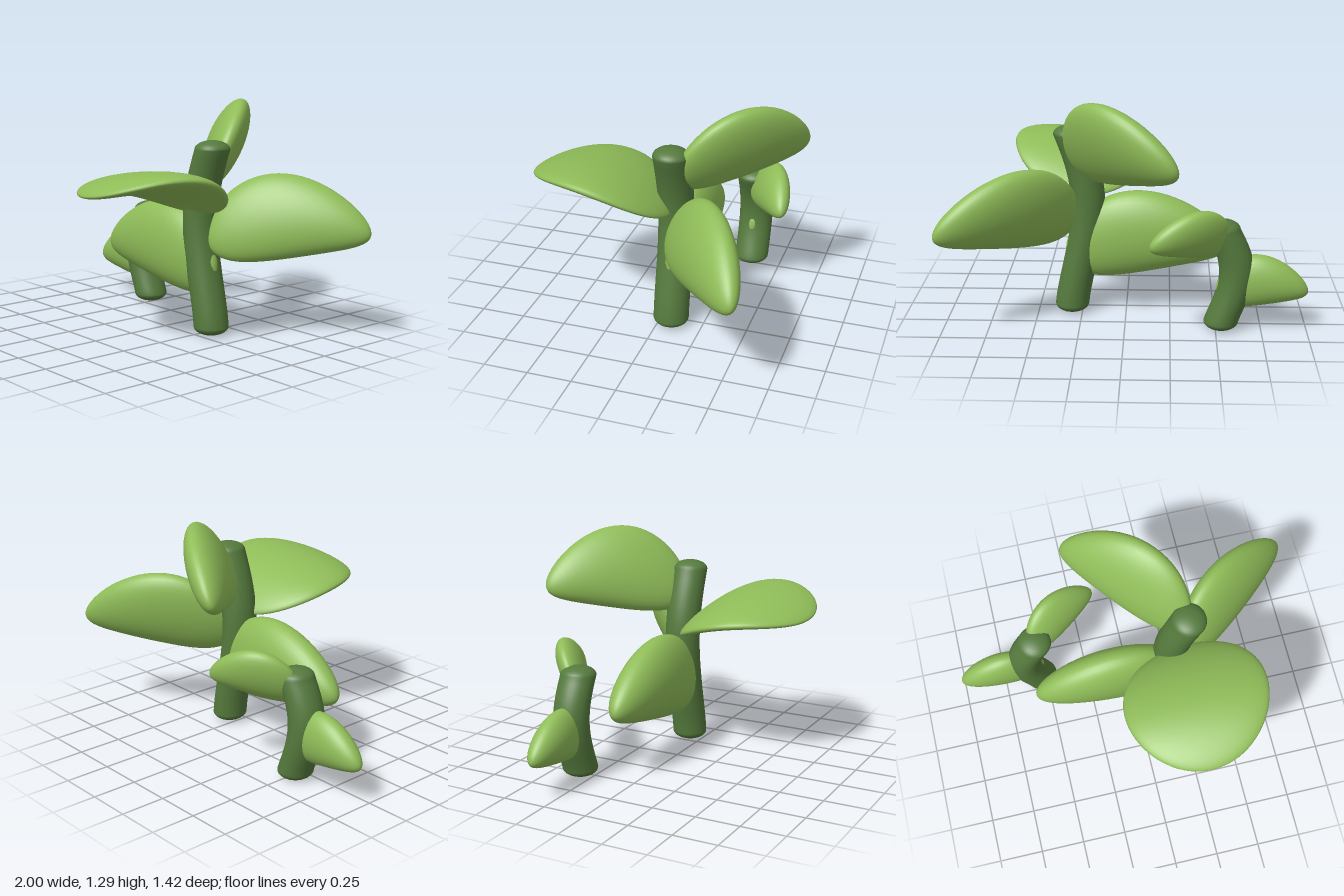
import * as THREE from 'three';
import { mergeVertices } from 'three/addons/utils/BufferGeometryUtils.js';

const leafGreen = new THREE.MeshStandardMaterial({ name: 'leafGreen', color: 0x8fbc58 });
const stemGreen = new THREE.MeshStandardMaterial({ name: 'stemGreen', color: 0x557a3d });

// Move every vertex by a rule, then weld seams for smooth normals.
function reshape(geometry, rule) {
  const pos = geometry.attributes.position;
  const v = new THREE.Vector3();
  for (let i = 0; i < pos.count; i++) {
    rule(v.fromBufferAttribute(pos, i));
    pos.setXYZ(i, v.x, v.y, v.z);
  }
  geometry.deleteAttribute('uv');
  geometry.deleteAttribute('normal');
  const welded = mergeVertices(geometry, 1e-5);
  welded.computeVertexNormals();
  return welded;
}

// Round stem with shallow domed ends, bowed towards -x.
function stem(name, { x, z, height, bow, power }) {
  const r = 0.1, dome = 0.05;
  const bottom = [], top = [], body = [];
  for (let i = 0; i < 8; i++) {
    const angle = i / 8 * Math.PI / 2;
    const px = r * Math.sin(angle), py = dome * (1 - Math.cos(angle));
    bottom.push(new THREE.Vector2(px, py));
    top.unshift(new THREE.Vector2(px, height - py));
  }
  for (let i = 0; i <= 20; i++) body.push(new THREE.Vector2(r, dome + (height - 2 * dome) * i / 20));
  const geometry = reshape(new THREE.LatheGeometry([...bottom, ...body, ...top], 32), v => {
    const s = THREE.MathUtils.clamp((v.y - dome) / (height - 2 * dome), 0, 1);
    v.x = v.x * 0.96 + x - bow * Math.sin(Math.PI * Math.pow(s, power));
    v.z += z;
  });
  const mesh = new THREE.Mesh(geometry, stemGreen);
  mesh.name = name;
  return mesh;
}

// Plump leaf from base to tip: egg outline, arched in its width and bent along its normal.
function leaf(name, base, tip, o) {
  const start = new THREE.Vector3(...base);
  const along = new THREE.Vector3(...tip).sub(start);
  const length = along.length();
  along.normalize();
  const across = new THREE.Vector3(...o.across).normalize();
  const normal = across.clone().cross(along).normalize();
  const geometry = reshape(new THREE.SphereGeometry(1, 40, 32), v => {
    const a = v.y, b = v.x, c = v.z;
    const curve = 1 - a * a;
    v.copy(start)
      .addScaledVector(along, length * (a + 1) / 2 + o.shear * b)
      .addScaledVector(across, o.arch * curve + o.width * b * (1 - o.taper * a))
      .addScaledVector(normal, o.bend * curve + o.thick * c);
  });
  const mesh = new THREE.Mesh(geometry, leafGreen);
  mesh.name = name;
  return mesh;
}

export function createModel() {
  const group = new THREE.Group();
  group.name = 'leafyStems';

  group.add(
    stem('tallStem', { x: 0.307, z: -0.075, height: 1.09, bow: 0.095, power: 1.3 }),
    stem('shortStem', { x: -0.53, z: -0.325, height: 0.63, bow: 0.08, power: 1.1 })
  );

  // Upright leaves share one shape at two sizes; some lean backwards
  const upright = (s, thick, across = [0, 1, 0]) => ({
    across, width: 0.235 * s, arch: 0.073 * s, taper: 0.38, shear: 0.06 * s, bend: 0, thick
  });
  group.add(
    leaf('rightLeaf', [0.337, 0.41, -0.075], [-0.58, 0.385, -0.075], upright(1, 0.13)),
    leaf('leftLeaf', [0.27, 0.615, -0.08], [0.99, 0.585, -0.6], upright(1, 0.11, [-0.18, 1, -0.25])),
    leaf('topLeaf', [0.33, 0.995, -0.12], [-0.28, 0.96, -0.68], upright(1.04, 0.105, [0.28, 1, -0.31])),
    leaf('smallRightLeaf', [-0.502, 0.26, -0.325], [-1, 0.215, -0.325], upright(0.61, 0.085)),
    leaf('smallBackLeaf', [-0.57, 0.55, -0.34], [-0.14, 0.54, -0.58], upright(0.61, 0.075, [-0.2, 1, -0.34]))
  );

  // Broad, drooping leaf at the front
  group.add(leaf('frontLeaf', [0.285, 0.69, -0.07], [0.255, 0.85, 0.71], {
    across: [-1, -0.14, 0], width: 0.4, arch: 0, taper: 0, shear: 0, bend: 0.11, thick: 0.065
  }));

  return group;
}
